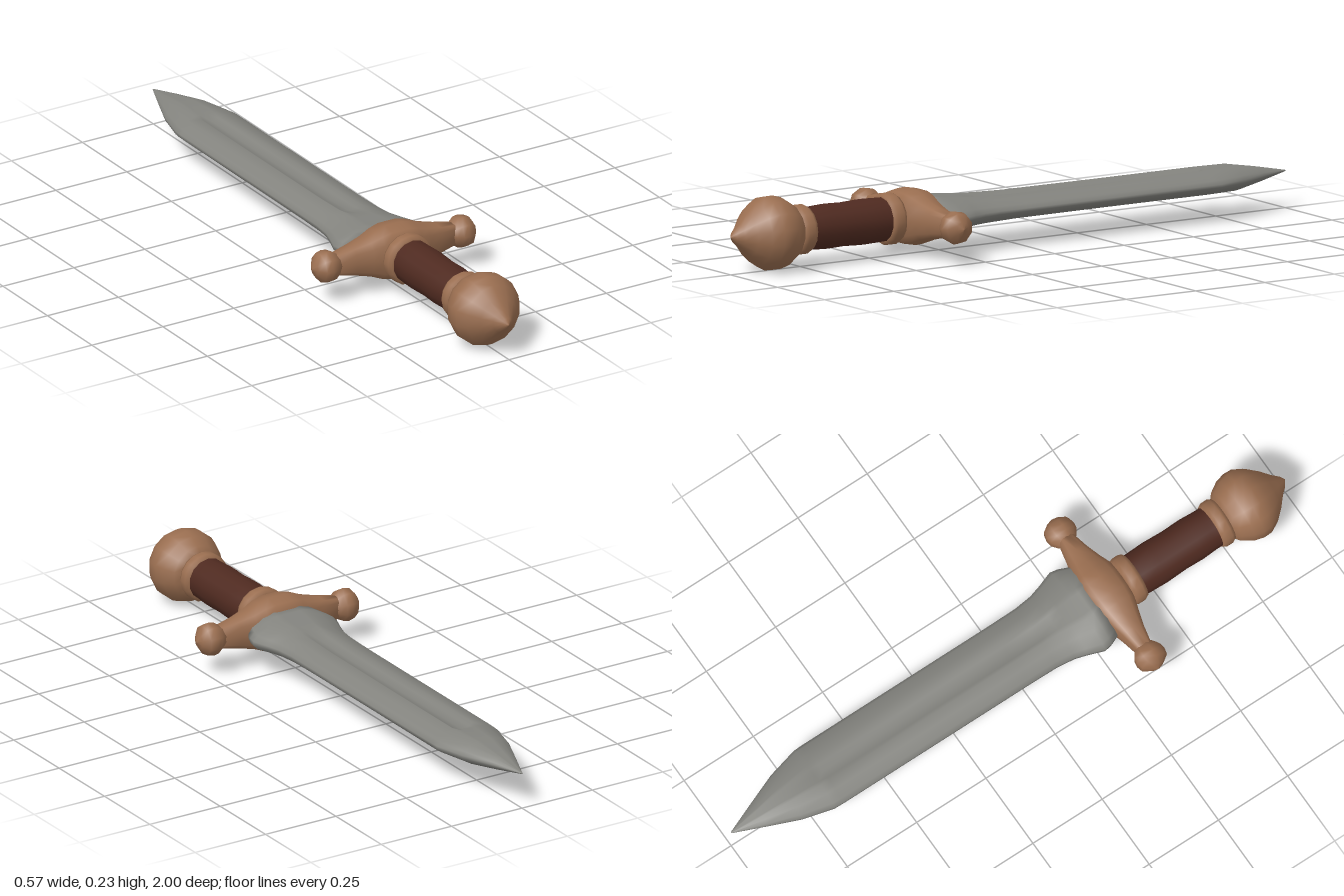
import * as THREE from 'three';

const AXIS_Y = 0.113; // height of the dagger's long axis

const bronze = new THREE.MeshStandardMaterial({ color: 0x9a6e50 });
bronze.name = 'bronze';
const leather = new THREE.MeshStandardMaterial({ color: 0x4f2a20 });
leather.name = 'leather';
const steel = new THREE.MeshStandardMaterial({ color: 0x83837e });
steel.name = 'steel';

// Skin closed rings of [x, y, z] points and cap both ends
function loft(rings) {
  const n = rings[0].length;
  const pos = rings.flat(2);
  const idx = [];
  for (let i = 0; i < rings.length - 1; i++) {
    for (let j = 0; j < n; j++) {
      const k = (j + 1) % n;
      const a = i * n + j, b = i * n + k, c = a + n, d = b + n;
      idx.push(a, b, c, b, d, c);
    }
  }
  const last = (rings.length - 1) * n;
  for (let j = 1; j < n - 1; j++) {
    idx.push(0, j + 1, j, last, last + j, last + j + 1);
  }
  const geo = new THREE.BufferGeometry();
  geo.setAttribute('position', new THREE.Float32BufferAttribute(pos, 3));
  geo.setIndex(idx);
  geo.computeVertexNormals();
  return geo;
}

// Turned shape from [radius, height] pairs
function turned(profile, sides) {
  return new THREE.LatheGeometry(profile.map(([r, h]) => new THREE.Vector2(r, h)), sides);
}

export function createModel() {
  const model = new THREE.Group();
  const add = (name, geo, mat) => {
    const mesh = new THREE.Mesh(geo, mat);
    mesh.name = name;
    mesh.position.y = AXIS_Y;
    model.add(mesh);
    return mesh;
  };

  // Blade: [z, half width, half thickness, fuller depth]
  const bladeStations = [
    [-1.0, 0.002, 0.002, 0], [-0.9, 0.043, 0.021, 0], [-0.8, 0.083, 0.037, 0],
    [-0.7, 0.109, 0.037, 0], [-0.67, 0.11, 0.037, 0.015], [-0.3, 0.11, 0.037, 0.015],
    [0.0, 0.11, 0.038, 0.015], [0.1, 0.111, 0.041, 0.014], [0.16, 0.118, 0.044, 0],
    [0.2, 0.13, 0.047, 0], [0.25, 0.148, 0.052, 0], [0.275, 0.143, 0.056, 0],
    [0.31, 0.128, 0.06, 0],
  ];
  // Fractions across the upper face: [x, y, share of fuller depth]
  const face = [
    [1, 0.12, 0], [0.9, 0.42, 0], [0.62, 0.8, 0], [0.34, 1, 0], [0.22, 1, 0.6],
    [0, 1, 1],
    [-0.22, 1, 0.6], [-0.34, 1, 0], [-0.62, 0.8, 0], [-0.9, 0.42, 0], [-1, 0.12, 0],
  ];
  add('blade', loft(bladeStations.map(([z, w, t, depth]) => {
    const upper = face.map(([fx, fy, fd]) => [fx * w, fy * t - fd * depth, z]);
    const lower = upper.map(([x, y]) => [-x, -y, z]);
    return [...upper, ...lower];
  })), steel);

  // Crossguard: [x, centre z, half depth, half height], mirrored
  const guardHalf = [
    [0.03, 0.352, 0.069, 0.084], [0.065, 0.352, 0.064, 0.075], [0.1, 0.351, 0.053, 0.06],
    [0.15, 0.35, 0.039, 0.047], [0.215, 0.35, 0.025, 0.034],
  ];
  const guardStations = [
    ...guardHalf.map(([x, ...rest]) => [-x, ...rest]).reverse(),
    ...guardHalf,
  ];
  add('crossguard', loft(guardStations.map(([x, cz, hz, hy]) => {
    const ring = [];
    for (let j = 0; j < 12; j++) {
      const a = (j / 12) * Math.PI * 2;
      // rounded-box section
      const c = Math.cos(a), s = Math.sin(a);
      const round = (v) => Math.sign(v) * Math.pow(Math.abs(v), 0.7);
      ring.push([x, round(c) * hy, cz + round(s) * hz]);
    }
    return ring;
  })), bronze);

  // Knobs on the ends of the guard
  for (const side of [-1, 1]) {
    const geo = turned([
      [0.026, 0.195], [0.036, 0.205], [0.048, 0.222], [0.051, 0.24],
      [0.046, 0.261], [0.022, 0.278], [0, 0.286],
    ], 9);
    geo.rotateZ(-side * Math.PI / 2);
    geo.translate(0, 0, 0.35);
    add(side > 0 ? 'leftGuardKnob' : 'rightGuardKnob', geo, bronze);
  }

  // Grip, slightly uneven like wrapped leather
  const grip = turned([
    [0.066, 0.42], [0.068, 0.47], [0.07, 0.53], [0.067, 0.6],
    [0.069, 0.66], [0.066, 0.71], [0.066, 0.76],
  ], 14);
  grip.rotateX(Math.PI / 2);
  add('grip', grip, leather);

  // Collars at both ends of the grip
  for (const [name, z, half, r] of [
    ['guardCollar', 0.434, 0.023, 0.079], ['pommelCollar', 0.753, 0.022, 0.076],
  ]) {
    const geo = turned([
      [0.06, z - half], [r - 0.006, z - half], [r, z - half * 0.5],
      [r, z + half * 0.5], [r - 0.006, z + half], [0.06, z + half],
    ], 16);
    geo.rotateX(Math.PI / 2);
    add(name, geo, bronze);
  }

  // Pommel, drawn out to a blunt point
  const pommel = turned([
    [0, 0.765], [0.06, 0.768], [0.085, 0.788], [0.105, 0.82], [0.113, 0.85],
    [0.112, 0.878], [0.095, 0.91], [0.066, 0.942], [0.036, 0.968], [0.018, 0.988], [0, 1.0],
  ], 14);
  pommel.rotateX(Math.PI / 2);
  add('pommel', pommel, bronze);

  return model;
}
